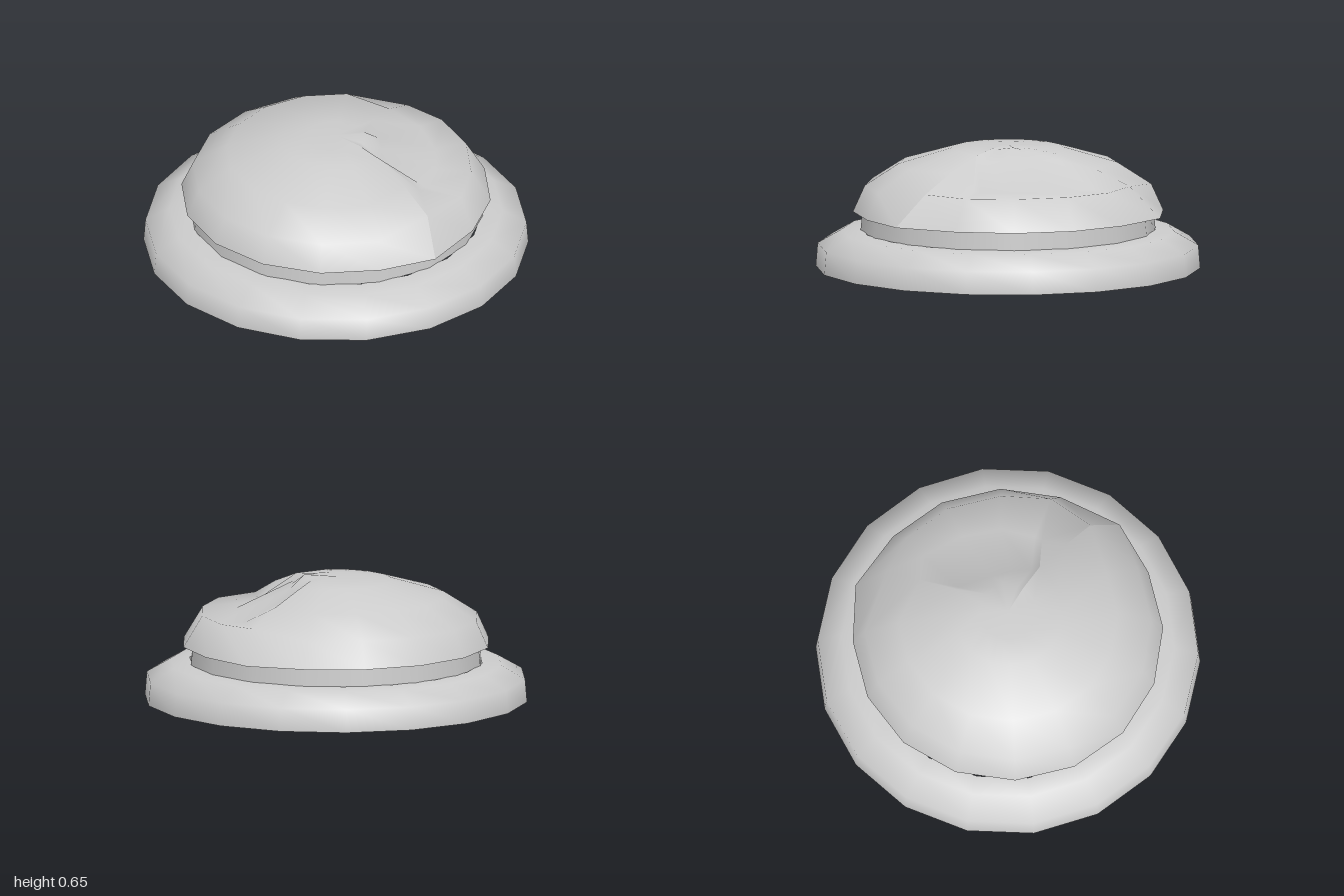
import * as THREE from 'three';

const material = new THREE.MeshStandardMaterial({ color: 0xcccccc, side: THREE.DoubleSide });

function lathe(name, profile, sides, start) {
  const points = profile.map(([r, y]) => new THREE.Vector2(r, y));
  const mesh = new THREE.Mesh(new THREE.LatheGeometry(points, sides, start), material);
  mesh.name = name;
  return mesh;
}

// One meridian of the plain dome, apex to bottom edge
const domeProfile = [[0, 0.643], [0.15, 0.638], [0.29, 0.628], [0.57, 0.545], [0.745, 0.432], [0.807, 0.295]];
function meridian(degrees) {
  const a = THREE.MathUtils.degToRad(degrees);
  return domeProfile.map(([r, y]) => [r * Math.cos(a), y, r * Math.sin(a)]);
}

// Meridian crossing the recess: ridge, rim, floor and lip replace the dome points
function recessed(degrees, rim, floor, lip, changes = {}) {
  const column = meridian(degrees);
  column[2] = rim;
  column[3] = floor;
  column[4] = lip;
  if (changes.ridge) column[1] = changes.ridge;
  if (changes.bottom) column[5] = changes.bottom;
  return column;
}

// Dome with a recess sunk into its front left quarter
function domeGeometry() {
  const sideRidge = [0.03, 0.64, 0.15];
  const frontBottom = [-0.02, 0.295, 0.84];
  const front = { ridge: sideRidge, bottom: frontBottom };
  const columns = [
    // far end of the recess, then its open stretch
    recessed(-22.5, [0.29, 0.61, -0.08], [0.48, 0.545, -0.15], [0.66, 0.465, -0.215], { bottom: [0.77, 0.295, -0.33] }),
    recessed(0, [0.3, 0.585, -0.06], [0.58, 0.46, -0.02], [0.71, 0.46, 0]),
    recessed(22.5, [0.21, 0.59, 0.1], [0.5, 0.46, 0.2], [0.66, 0.46, 0.26]),
    recessed(45, [0.15, 0.59, 0.19], [0.38, 0.46, 0.36], [0.5, 0.46, 0.5], { ridge: [0.13, 0.65, 0.1] }),
    recessed(67.5, [0.08, 0.59, 0.27], [0.22, 0.46, 0.45], [0.3, 0.46, 0.66]),
    // foot and top edge of the end wall
    recessed(90, [0.05, 0.62, 0.3], [0.18, 0.46, 0.46], [0.05, 0.46, 0.69], front),
    recessed(90, [0.05, 0.62, 0.3], [0.05, 0.55, 0.5], [0.05, 0.46, 0.69], front),
  ];
  for (let d = 112.5; d < 337; d += 22.5) columns.push(meridian(d));

  const rows = domeProfile.length;
  const positions = columns.flat(2);
  const index = [];
  for (let i = 0; i < columns.length; i++) {
    const next = (i + 1) % columns.length;
    for (let j = 0; j < rows - 1; j++) {
      const a = i * rows + j;
      const b = next * rows + j;
      if (j > 0) index.push(a, b, a + 1);
      index.push(b, b + 1, a + 1);
    }
  }
  // all meridians share a single apex vertex
  const shared = index.map((v) => (v % rows === 0 ? 0 : v));
  const geometry = new THREE.BufferGeometry();
  geometry.setAttribute('position', new THREE.Float32BufferAttribute(positions, 3));
  geometry.setIndex(shared);
  geometry.computeVertexNormals();
  return geometry;
}

export function createModel() {
  const group = new THREE.Group();
  group.name = 'domedCap';

  // Flared open base
  group.add(lathe('baseRing', [[1, 0], [0.99, 0.12], [0.865, 0.192], [0.765, 0.2]], 18, Math.PI / 2));

  // Neck between base and dome
  group.add(lathe('neck', [[0.767, 0.195], [0.755, 0.32]], 16, 0));

  const dome = new THREE.Mesh(domeGeometry(), material);
  dome.name = 'dome';
  group.add(dome);
  return group;
}
